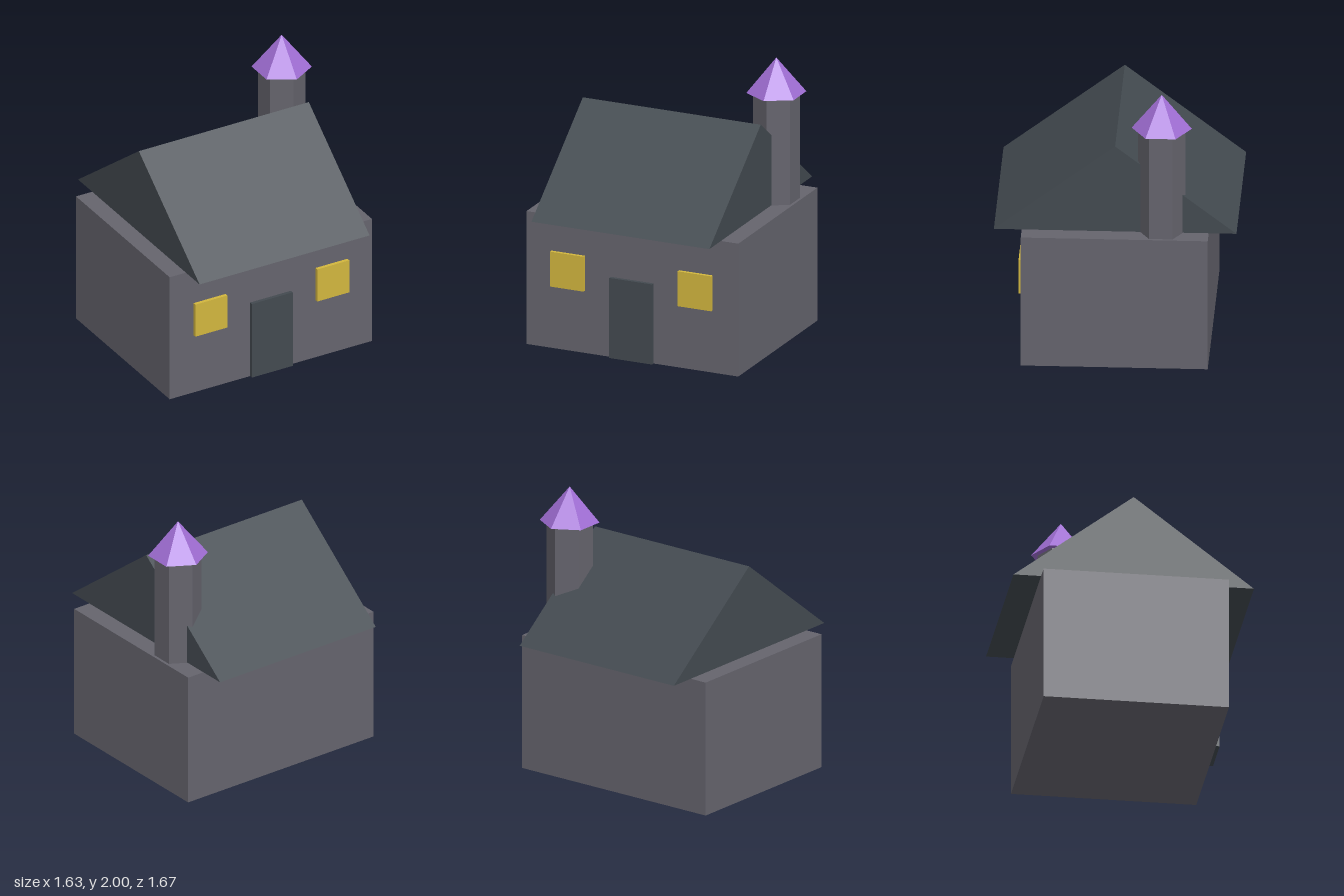
import * as THREE from 'three';

const flat = (name, color) => {
  const m = new THREE.MeshStandardMaterial({ color });
  m.name = name;
  return m;
};

export function createModel() {
  const house = new THREE.Group();
  house.name = 'house';

  const stone = flat('stone', 0x65646d);
  const slate = flat('slate', 0x434a50);
  const yellow = flat('windowYellow', 0xd2b63e);
  const purple = flat('spirePurple', 0x9f6dd3);

  const add = (name, geometry, material, x, y, z) => {
    const mesh = new THREE.Mesh(geometry, material);
    mesh.name = name;
    mesh.position.set(x, y, z);
    house.add(mesh);
  };

  // Box given by its extents
  const box = (name, material, x0, x1, y0, y1, z0, z1) =>
    add(name, new THREE.BoxGeometry(x1 - x0, y1 - y0, z1 - z0), material,
      (x0 + x1) / 2, (y0 + y1) / 2, (z0 + z1) / 2);

  // Six-sided solid with flat faces
  const hexagonal = (name, material, rTop, rBottom, y0, y1) => {
    const g = new THREE.CylinderGeometry(rTop, rBottom, y1 - y0, 6).toNonIndexed();
    g.computeVertexNormals();
    add(name, g, material, 0.634, (y0 + y1) / 2, -0.32);
  };

  // Body
  box('walls', stone, -0.815, 0.795, 0, 0.97, -0.645, 0.645);

  // Door and windows, standing slightly proud of the front wall
  box('door', slate, -0.175, 0.15, 0, 0.585, 0.63, 0.67);
  box('rightWindow', yellow, -0.625, -0.37, 0.455, 0.71, 0.63, 0.67);
  box('leftWindow', yellow, 0.345, 0.6, 0.455, 0.71, 0.63, 0.67);

  // Gable roof, overhanging front and back
  const gable = new THREE.Shape([
    new THREE.Vector2(-0.837, 0),
    new THREE.Vector2(0.837, 0),
    new THREE.Vector2(0, 0.643),
  ]);
  const roof = new THREE.ExtrudeGeometry(gable, { depth: 1.353, bevelEnabled: false });
  roof.rotateY(Math.PI / 2);
  add('roof', roof, slate, -0.688, 0.972, 0);

  // Turret with pointed cap
  hexagonal('turret', stone, 0.163, 0.163, 0.9, 1.75);
  hexagonal('turretCap', purple, 0, 0.208, 1.747, 2);

  return house;
}
